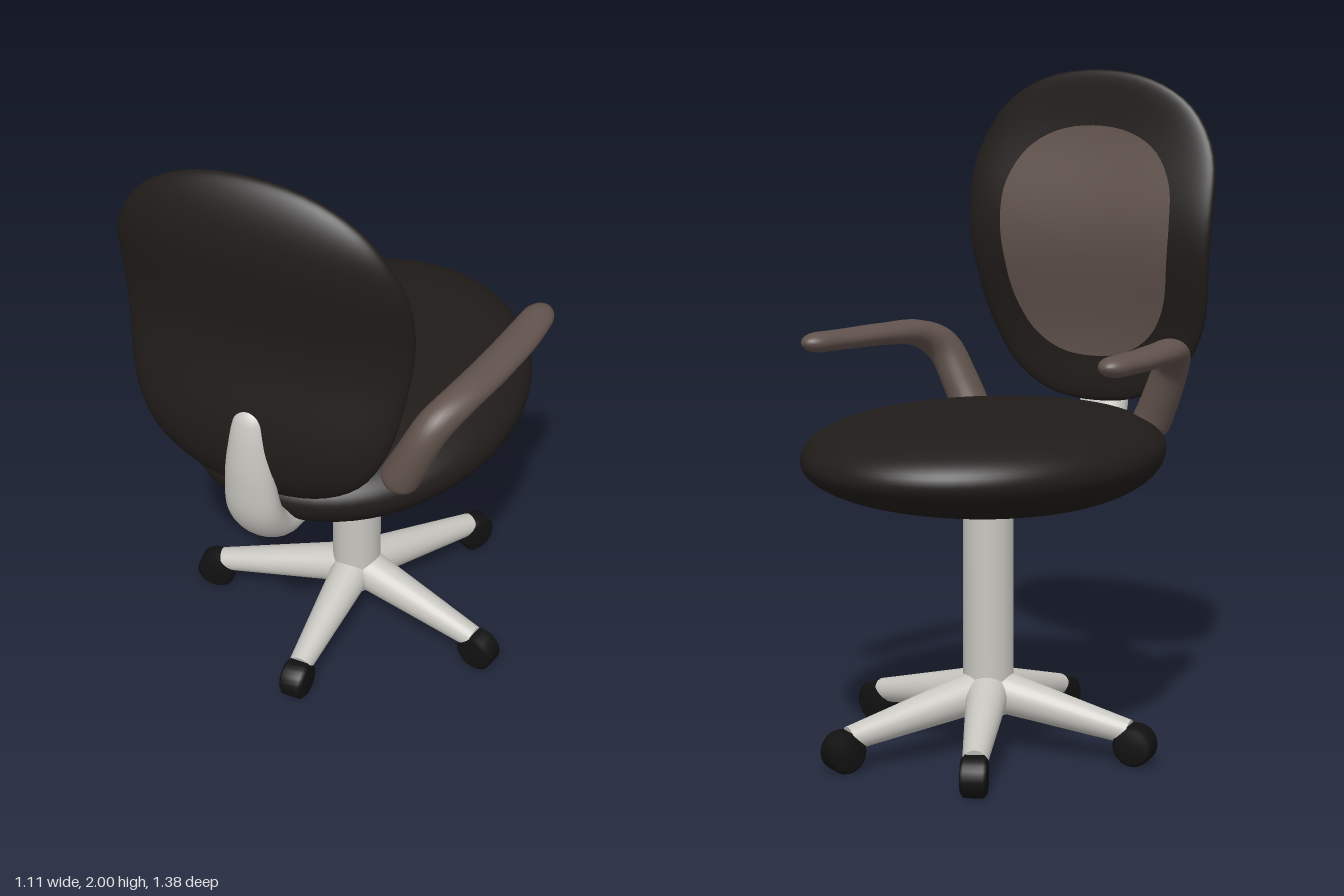
import * as THREE from 'three';
import { mergeVertices } from 'three/addons/utils/BufferGeometryUtils.js';

const V = (x, y, z) => new THREE.Vector3(x, y, z);
const mat = (color, roughness = 0.8) => new THREE.MeshStandardMaterial({ color, roughness });

// Closed-ring surface: fn(v, u) gives a point, rings run along v, u goes round
function ringSurface(fn, nv, nu, v0 = 0, v1 = 1) {
  const pos = [], idx = [];
  for (let i = 0; i <= nv; i++)
    for (let j = 0; j < nu; j++) {
      const p = fn(v0 + ((v1 - v0) * i) / nv, j / nu);
      pos.push(p.x, p.y, p.z);
    }
  for (let i = 0; i < nv; i++)
    for (let j = 0; j < nu; j++) {
      const k = (j + 1) % nu;
      const a = i * nu + j, b = i * nu + k, c = (i + 1) * nu + k, d = (i + 1) * nu + j;
      idx.push(a, b, c, a, c, d);
    }
  let g = new THREE.BufferGeometry();
  g.setAttribute('position', new THREE.Float32BufferAttribute(pos, 3));
  g.setIndex(idx);
  g = mergeVertices(g, 1e-5);
  g.computeVertexNormals();
  return g;
}

// Oval bar along a path; rows are [x, y, z, half width, half thickness], ends rounded
function bar(rows, endLength) {
  const path = new THREE.CatmullRomCurve3(rows.map((r) => V(r[0], r[1], r[2])), false, 'centripetal');
  const size = new THREE.CatmullRomCurve3(rows.map((r) => V(r[3], r[4], 0)), false, 'centripetal');
  return ringSurface((v, u) => {
    // cosine spacing gathers rings at the rounded ends
    const s = (1 - Math.cos(Math.PI * v)) / 2;
    const c = path.getPoint(s), t = path.getTangent(s), h = size.getPoint(s);
    const e = Math.min(1, Math.min(s, 1 - s) / endLength);
    const f = Math.sqrt(Math.max(0, 1 - (1 - e) ** 2));
    const side = V(1, 0, 0).addScaledVector(t, -t.x).normalize();
    const up = t.clone().cross(side);
    const a = u * Math.PI * 2;
    return c.addScaledVector(side, h.x * f * Math.cos(a)).addScaledVector(up, h.y * f * Math.sin(a));
  }, 56, 24);
}

export function createModel() {
  const model = new THREE.Group();
  model.name = 'officeChair';
  const metal = mat(0xc8c6c0, 0.6), fabric = mat(0x201c1a), brown = mat(0x61524c), rubber = mat(0x111111);
  const add = (name, geometry, material, parent = model) => {
    const m = new THREE.Mesh(geometry, material);
    m.name = name;
    parent.add(m);
    return m;
  };
  const hubZ = -0.06;

  // Seat: flat-topped oval cushion with a deeper underside toward the back
  add('seat', ringSurface((v, u) => {
    const r = Math.sin(Math.PI * v), a = u * Math.PI * 2;
    const nz = r * Math.cos(a);
    const y = v > 0.5
      ? 0.12 * Math.sqrt(Math.max(0, 1 - r ** 4))
      : -0.178 * Math.sqrt(Math.max(0, 1 - r ** 2.2)) * (1 + 0.2 * nz);
    return V(0.5 * r * Math.sin(a), 0.9 + y, -0.073 + 0.615 * nz);
  }, 48, 64), fabric);

  // Backrest: egg outline, curved lumbar profile, sides wrapping forward
  const half = [[0.19, 1.972], [0.33, 1.89], [0.415, 1.75], [0.432, 1.6], [0.415, 1.4],
    [0.38, 1.22], [0.3, 1.08], [0.17, 0.995]];
  const outline = new THREE.CatmullRomCurve3([
    V(0, 2, 0), ...half.map(([x, y]) => V(x, y, 0)),
    V(0, 0.97, 0), ...half.slice().reverse().map(([x, y]) => V(-x, y, 0)),
  ], true, 'centripetal');
  const backCentre = 1.44;
  const backPoint = (v, u) => {
    const r = Math.sin(Math.PI * v), p = outline.getPoint(u);
    const x = p.x * r, y = backCentre + (p.y - backCentre) * r;
    const mid = 0.57 + 0.025 * Math.cos(((y - 1.15) * Math.PI * 2) / 0.7);
    const thick = (v < 0.5 ? 0.07 : -0.055) * Math.sqrt(Math.max(0, 1 - r ** 3.2));
    return V(x, y, mid + thick - 0.035 * (x / 0.43) ** 2);
  };
  const panelEdge = 0.755;
  add('backrestShell', ringSurface(backPoint, 40, 72, 0, panelEdge), fabric);
  add('backrestPanel', ringSurface(backPoint, 16, 72, panelEdge, 1), brown);

  // Spine joining the seat underside to the backrest
  add('backSupport', bar([
    [0, 0.78, 0.08, 0.07, 0.04],
    [0, 0.785, 0.35, 0.075, 0.045],
    [0, 0.83, 0.53, 0.08, 0.052],
    [0, 0.93, 0.615, 0.083, 0.054],
    [0, 1.06, 0.64, 0.075, 0.048],
    [0, 1.2, 0.64, 0.058, 0.04],
    [0, 1.3, 0.625, 0.045, 0.03],
  ], 0.08), metal);

  // Armrests
  for (const s of [1, -1]) {
    add(s > 0 ? 'leftArmrest' : 'rightArmrest', bar([
      [s * 0.305, 0.92, 0.345, 0.06, 0.064],
      [s * 0.355, 1.03, 0.34, 0.056, 0.062],
      [s * 0.405, 1.14, 0.315, 0.053, 0.056],
      [s * 0.445, 1.187, 0.24, 0.053, 0.042],
      [s * 0.475, 1.198, 0.1, 0.056, 0.034],
      [s * 0.498, 1.2, -0.08, 0.055, 0.031],
      [s * 0.51, 1.204, -0.266, 0.045, 0.031],
    ], 0.06), brown);
  }

  // Column
  const column = add('column', new THREE.CylinderGeometry(0.075, 0.075, 0.63, 32), metal);
  column.position.set(0, 0.455, hubZ);
  const hub = add('hub', new THREE.CylinderGeometry(0.075, 0.06, 0.05, 32), metal);
  hub.position.set(0, 0.135, hubZ);

  // Five tapered legs, each with a wheel turned along the leg
  const wheelProfile = [[0, -0.038], [0.048, -0.038], [0.06, -0.028], [0.06, 0.028], [0.048, 0.038], [0, 0.038]]
    .map(([x, y]) => new THREE.Vector2(x, y));
  const wheelGeometry = new THREE.LatheGeometry(wheelProfile, 24).rotateX(Math.PI / 2);
  const feet = [[0, 0.43], [0.45, 0.08], [0.222, -0.425], [-0.222, -0.425], [-0.45, 0.08]];
  feet.forEach(([x, z], i) => {
    const reach = Math.hypot(x, z);
    const leg = new THREE.Group();
    leg.name = 'baseLeg' + (i + 1);
    leg.position.z = hubZ;
    leg.rotation.y = Math.atan2(-z, x);
    const from = V(0, 0.185, 0), to = V(reach - 0.015, 0.096, 0);
    const dir = to.clone().sub(from);
    const arm = add('legArm', new THREE.CylinderGeometry(0.036, 0.066, dir.length(), 24), metal, leg);
    arm.position.copy(from).add(to).multiplyScalar(0.5);
    arm.quaternion.setFromUnitVectors(V(0, 1, 0), dir.normalize());
    add('wheel', wheelGeometry, rubber, leg).position.set(reach + 0.005, 0.06, 0);
    model.add(leg);
  });

  return model;
}
